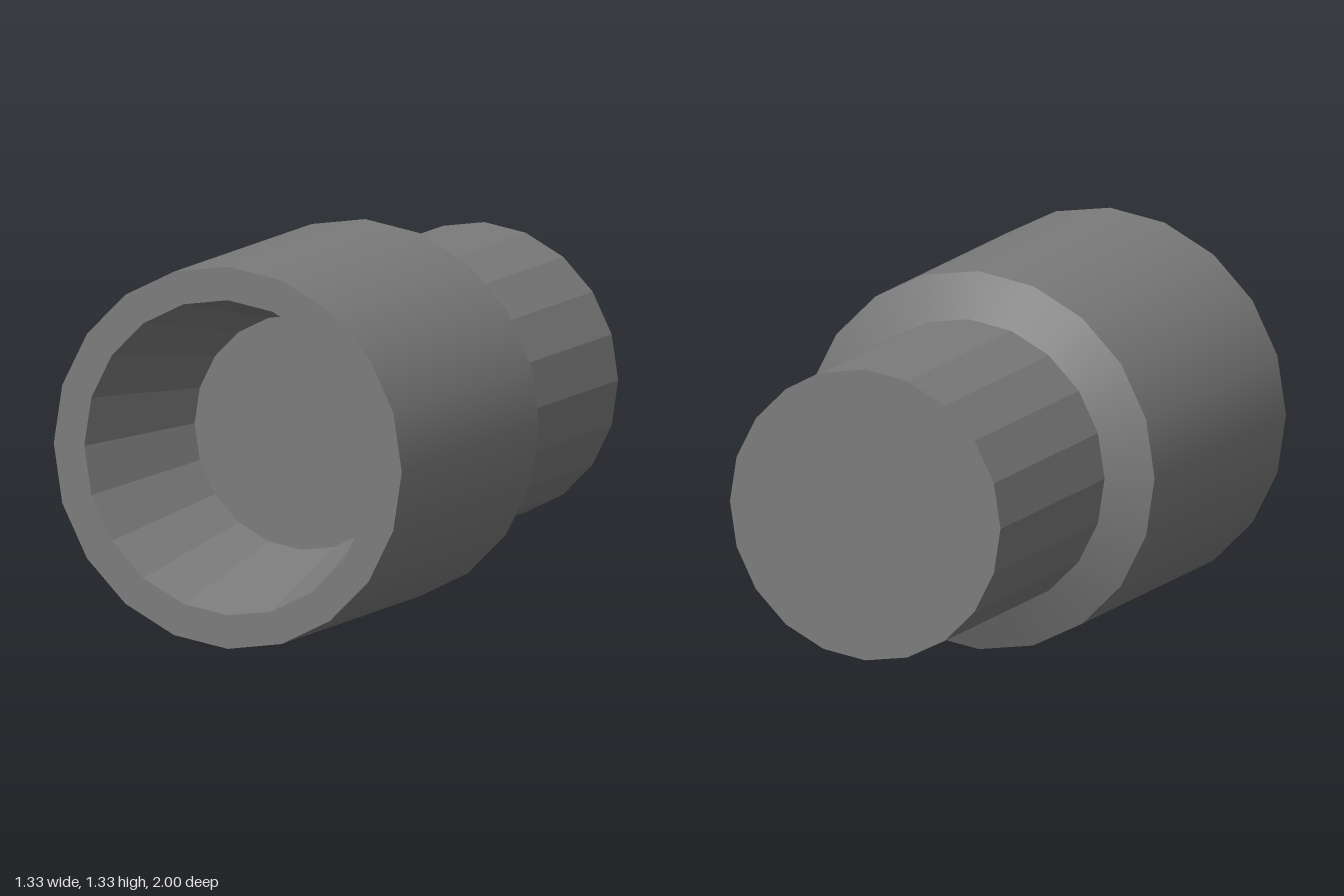
import * as THREE from 'three';

const SIDES = 20;
const CENTER_Y = 0.667;

// Surface of revolution about z; points are [radius, z], ascending z faces outward
function ring(name, points, flat) {
  const geometry = new THREE.LatheGeometry(points.map(([r, z]) => new THREE.Vector2(r, z)), SIDES);
  geometry.rotateX(Math.PI / 2);
  const material = new THREE.MeshStandardMaterial({ color: 0x7b7b7b, flatShading: flat });
  const mesh = new THREE.Mesh(geometry, material);
  mesh.name = name;
  return mesh;
}

export function createModel() {
  const model = new THREE.Group();
  model.name = 'steppedSocket';

  const body = new THREE.Group();
  body.name = 'fittingBody';
  body.position.y = CENTER_Y;
  body.add(
    // Narrow rear stub with its closed end
    ring('rearCap', [[0, -1], [0.513, -1]], true),
    ring('rearStub', [[0.513, -1], [0.513, -0.15]], true),
    // Bevelled shoulder and wide front sleeve
    ring('shoulder', [[0.513, -0.15], [0.667, -0.073]], false),
    ring('frontSleeve', [[0.667, -0.073], [0.667, 1]], false),
    // Front lip, tapered bore and its floor
    ring('frontLip', [[0.667, 1], [0.55, 1]], true),
    ring('taperedBore', [[0.55, 1], [0.41, 0.425]], true),
    ring('boreFloor', [[0.41, 0.425], [0, 0.425]], true),
  );
  model.add(body);
  return model;
}
